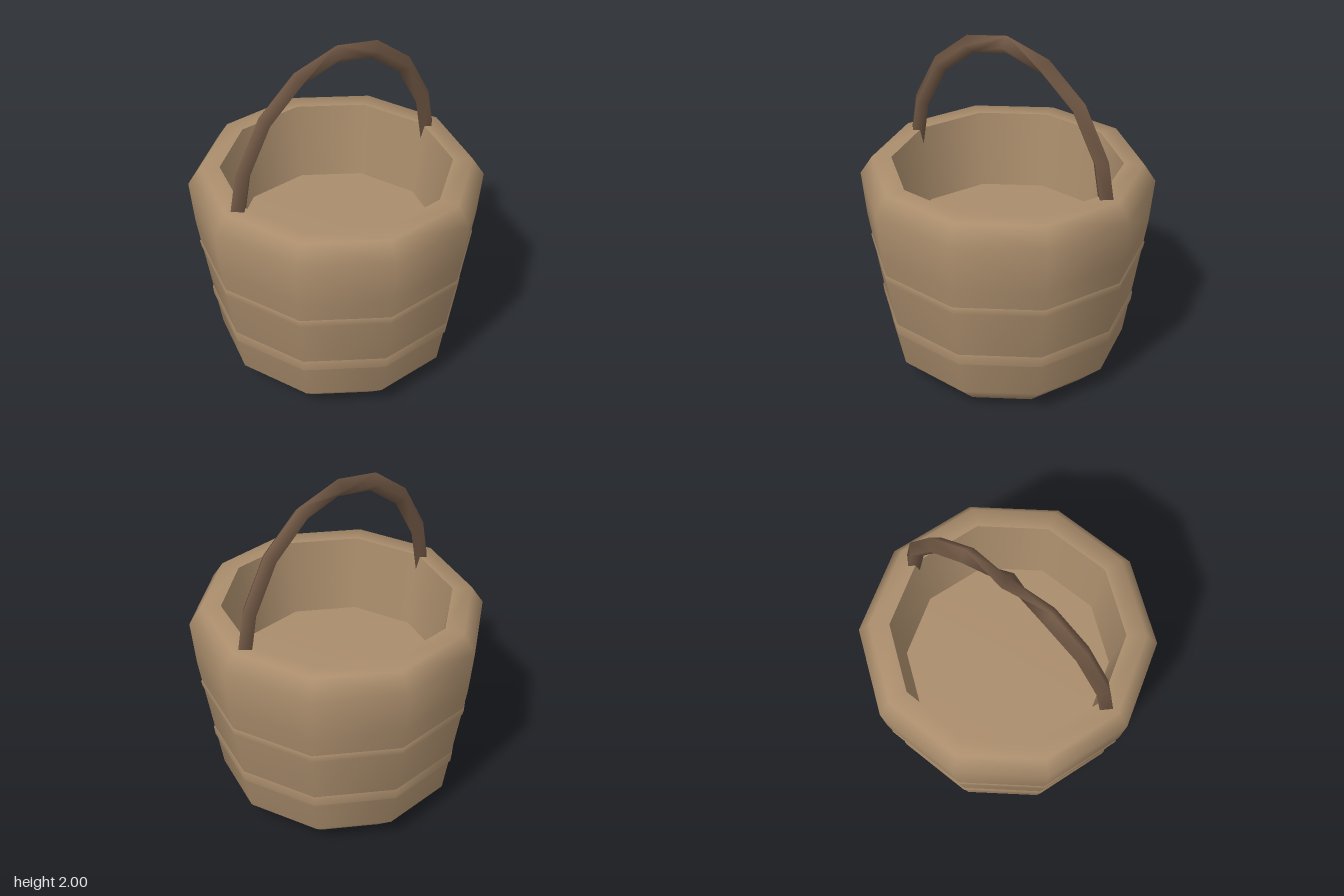
import * as THREE from 'three';

const SIDES = 10;

export function createModel() {
  const group = new THREE.Group();
  const wood = new THREE.MeshStandardMaterial({ color: 0xaa8d6c });
  wood.name = 'lightWood';
  const bark = new THREE.MeshStandardMaterial({ color: 0x705744 });
  bark.name = 'darkWood';

  // Ten-sided smooth ring with a corner on the x axis
  const turned = (name, profile) => {
    const points = profile.map(([r, y]) => new THREE.Vector2(r, y));
    const mesh = new THREE.Mesh(new THREE.LatheGeometry(points, SIDES, Math.PI / 2), wood);
    mesh.name = name;
    group.add(mesh);
  };

  // Bucket: base, flared side and broad flat rim
  turned('bucketShell', [
    [0, 0], [0.54, 0], [0.69, 0.15], [0.806, 0.9], [0.83, 1.16], [0.76, 1.265], [0.65, 1.265],
  ]);
  // Shallow inside: tapered wall and a raised floor with a rounded edge
  turned('innerWall', [[0.65, 1.265], [0.59, 0.81]]);
  turned('bucketFloor', [[0.58, 0.79], [0.59, 0.81], [0, 0.81]]);

  // Hoops: rounded face above a sharp lower edge
  for (const [name, y, r, h] of [['lowerHoop', 0.365, 0.732, 0.08], ['upperHoop', 0.727, 0.785, 0.052]]) {
    turned(name, [[r, y], [r + 0.006, y + h * 0.65], [r - 0.004, y + h]]);
    turned(name + 'Underside', [[r - 0.02, y], [r, y]]);
  }

  // Handle: diamond section swept along an arch, with a quarter twist at the crown
  const half = [[0.695, 1.14], [0.635, 1.455], [0.483, 1.72], [0.26, 1.892]];
  const path = [
    ...half.map(([x, y]) => [-x, y]), [0, 1.95], ...half.slice().reverse(),
  ].map(([x, y]) => new THREE.Vector3(x, y, 0));
  const positions = [];
  const index = [];
  const last = path.length - 1;
  const crown = last / 2;
  path.forEach((p, i) => {
    const t = path[Math.min(i + 1, last)].clone().sub(path[Math.max(i - 1, 0)]).normalize();
    const twist = i === crown ? -Math.PI / 2 : 0;
    for (let k = 0; k < 4; k++) {
      const a = k * Math.PI / 2 + twist;
      const out = 0.051 * Math.cos(a);
      positions.push(p.x - t.y * out, p.y + t.x * out, 0.051 * Math.sin(a));
      if (i < last) {
        const a0 = i * 4 + k, b0 = i * 4 + (k + 1) % 4, a1 = a0 + 4, b1 = b0 + 4;
        // Diagonals keep the top and bottom edges straight and pinch the sides
        if ((k % 2 === 0) === (i < crown)) index.push(a0, b0, b1, a0, b1, a1);
        else index.push(a0, b0, a1, b0, b1, a1);
      }
    }
  });
  // End caps
  const e = last * 4;
  index.push(0, 2, 1, 0, 3, 2, e, e + 1, e + 2, e, e + 2, e + 3);
  const geometry = new THREE.BufferGeometry();
  geometry.setAttribute('position', new THREE.Float32BufferAttribute(positions, 3));
  geometry.setIndex(index);
  geometry.computeVertexNormals();
  const handle = new THREE.Mesh(geometry, bark);
  handle.name = 'handle';
  group.add(handle);

  return group;
}
